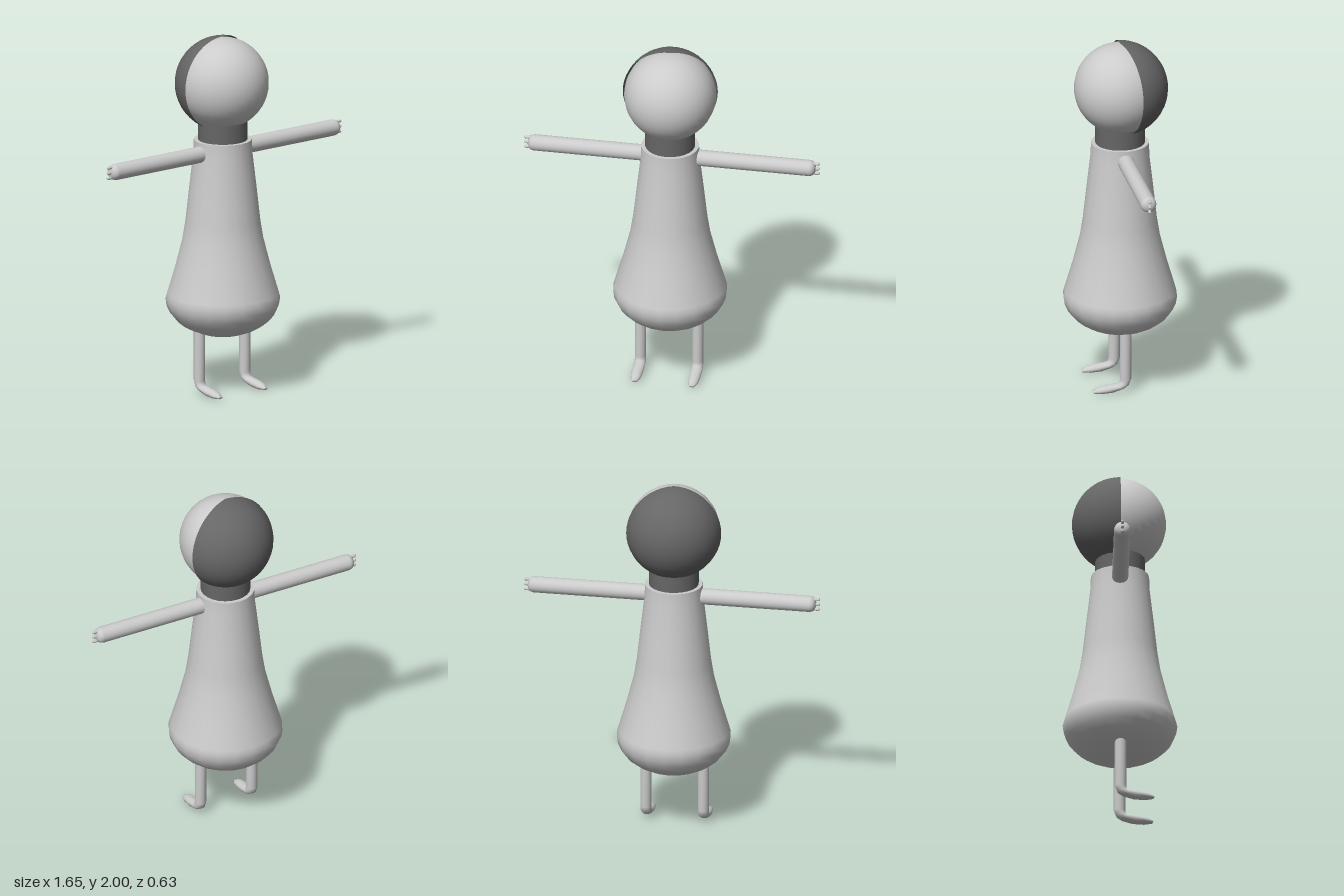
import * as THREE from 'three';

const grey = new THREE.MeshStandardMaterial({ color: 0xcccccc });
const dark = new THREE.MeshStandardMaterial({ color: 0x666666 });
const darkShell = new THREE.MeshStandardMaterial({ color: 0x666666, side: THREE.DoubleSide });
const CX = -0.01; // body axis

function add(parent, name, geometry, material, x = 0, y = 0, z = 0) {
  const mesh = new THREE.Mesh(geometry, material);
  mesh.name = name;
  mesh.position.set(x, y, z);
  parent.add(mesh);
  return mesh;
}

function lathe(points, segments) {
  return new THREE.LatheGeometry(points.map(([r, y]) => new THREE.Vector2(r, y)), segments);
}

// Leg and foot: elliptical rings spanned between a front/top and a back/sole point
function legGeometry() {
  // [front z, front y, back z, back y, half width]
  const rings = [
    [0.032, 0.40, -0.032, 0.40, 0.031],
    [0.032, 0.08, -0.032, 0.08, 0.031],
    [0.033, 0.06, -0.016, 0.042, 0.031],
    [0.05, 0.054, 0.015, 0.022, 0.031],
    [0.12, 0.046, 0.07, 0.005, 0.032],
    [0.163, 0.034, 0.13, 0.001, 0.028],
    [0.186, 0.02, 0.178, 0.006, 0.014],
  ];
  const n = 16, pos = [], index = [];
  rings.forEach(([fz, fy, bz, by, w]) => {
    for (let i = 0; i < n; i++) {
      const a = (i / n) * Math.PI * 2, c = Math.cos(a) / 2;
      pos.push(Math.sin(a) * w, (fy + by) / 2 + (fy - by) * c, (fz + bz) / 2 + (fz - bz) * c);
    }
  });
  for (let r = 0; r < rings.length - 1; r++) {
    for (let i = 0; i < n; i++) {
      const a = r * n + i, b = r * n + (i + 1) % n;
      index.push(a, a + n, b, b, a + n, b + n);
    }
  }
  // toe cap
  const last = (rings.length - 1) * n;
  for (let i = 1; i < n - 1; i++) index.push(last, last + i + 1, last + i);
  const g = new THREE.BufferGeometry();
  g.setAttribute('position', new THREE.Float32BufferAttribute(pos, 3));
  g.setIndex(index);
  // keep the winding outward: the first ring quad must face away from the leg axis
  g.computeVertexNormals();
  if (g.attributes.normal.getZ(0) < 0) {
    g.setIndex(index.slice().reverse());
    g.computeVertexNormals();
  }
  return g;
}

export function createModel() {
  const model = new THREE.Group();
  model.name = 'figure';

  // Bell-shaped dress with a rounded underside
  const profile = [];
  for (let i = 0; i <= 8; i++) {
    const a = (i / 8) * Math.PI / 2;
    profile.push([0.315 * Math.sin(a), 0.52 - 0.21 * Math.cos(a)]);
  }
  profile.push([0.307, 0.55], [0.26, 0.71], [0.222, 0.86], [0.206, 0.96],
    [0.185, 1.15], [0.163, 1.34], [0.16, 1.42]);
  add(model, 'dress', lathe(profile, 20), grey, CX);
  const collar = add(model, 'collar', new THREE.CircleGeometry(0.16, 20), grey, CX, 1.42);
  collar.rotation.set(-Math.PI / 2, 0, 0);

  // Neck, head and the hair shell behind it
  add(model, 'neck', new THREE.CylinderGeometry(0.137, 0.137, 0.2, 24), dark, CX, 1.5);
  add(model, 'head', new THREE.SphereGeometry(0.253, 32, 24), grey, CX, 1.738);
  add(model, 'hair', new THREE.SphereGeometry(0.264, 18, 24, Math.PI * 1.1, Math.PI * 0.9),
    darkShell, CX, 1.736);

  // Arms with rounded ends and three short fingers
  const armProfile = [[0.045, 0.1], [0.045, 0.77], [0.041, 0.784], [0.032, 0.795], [0.018, 0.801], [0, 0.803]];
  for (const side of [1, -1]) {
    const arm = new THREE.Group();
    arm.name = side > 0 ? 'leftArm' : 'rightArm';
    arm.position.set(0, 1.355, -0.002);
    model.add(arm);
    const sleeve = add(arm, 'sleeve', lathe(armProfile, 20), grey);
    sleeve.rotation.z = -side * Math.PI / 2;
    for (const y of [-0.029, 0, 0.029]) {
      const finger = add(arm, 'finger', new THREE.CapsuleGeometry(0.009, 0.04, 4, 10), grey, side * 0.796, y);
      finger.rotation.z = Math.PI / 2;
    }
  }

  // Legs with forward-pointing feet
  const leg = legGeometry();
  add(model, 'leftLeg', leg, grey, 0.145);
  add(model, 'rightLeg', leg, grey, -0.175);

  return model;
}
